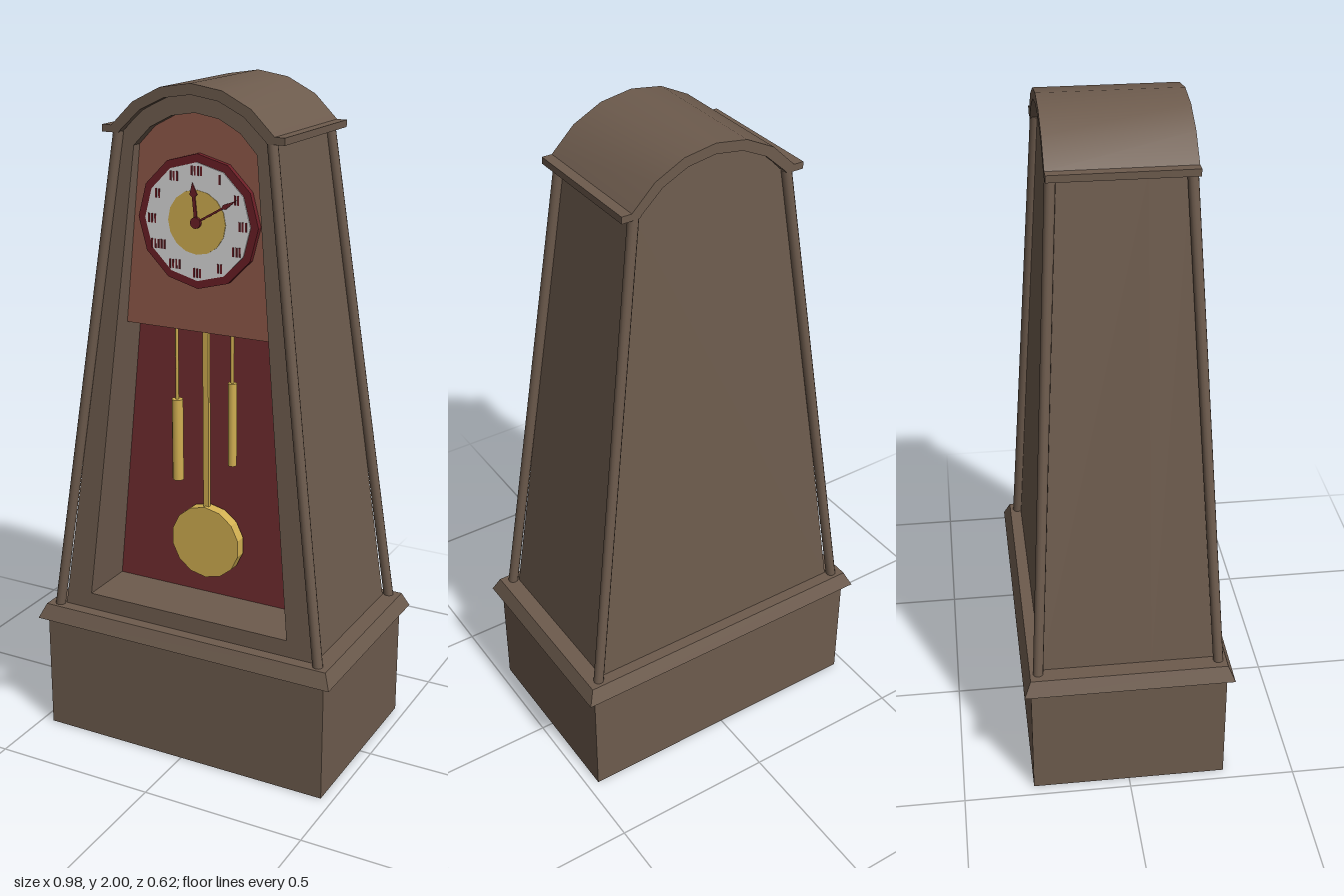
import * as THREE from 'three';
import { toCreasedNormals } from 'three/addons/utils/BufferGeometryUtils.js';

const ARCH_Y = 1.6875; // shared centre height of all arches
const PANEL_Z = 0.07;
const bodyDepth = (y) => 0.255 - 0.052 * (y - 0.41); // half depth of the tapered case

const mat = (name, color) => Object.assign(new THREE.MeshStandardMaterial({ color }), { name });

// Points along an arch of radius r, from right (+x) to left, ending at +-halfWidth
function archPoints(r, halfWidth, n = 6) {
  const a = Math.asin(halfWidth / r);
  return Array.from({ length: n + 1 }, (_, i) => {
    const t = a - (2 * a * i) / n;
    return new THREE.Vector2(r * Math.sin(t), ARCH_Y + r * Math.cos(t));
  });
}

// Tapered outline with an arched top
function caseOutline(bottomHalf, bottomY, r, topHalf) {
  return [new THREE.Vector2(-bottomHalf, bottomY), new THREE.Vector2(bottomHalf, bottomY), ...archPoints(r, topHalf)];
}

// Extrude a shape between two depth rules z(y)
function extrudeBetween(shape, back, front) {
  const g = new THREE.ExtrudeGeometry(shape, { depth: 1, bevelEnabled: false });
  const p = g.attributes.position;
  for (let i = 0; i < p.count; i++) {
    p.setZ(i, p.getZ(i) > 0.5 ? front(p.getY(i)) : back(p.getY(i)));
  }
  g.computeVertexNormals();
  return toCreasedNormals(g, 0.5);
}

export function createModel() {
  const model = new THREE.Group();
  model.name = 'longcaseClock';
  const wood = mat('brown wood', 0x6d5b4d);
  const crimson = mat('dark red lining', 0x732d30);
  const maroon = mat('maroon trim', 0x6b1f26);
  const copper = mat('reddish face board', 0x915a4a);
  const gold = mat('brass', 0xd2b052);
  const white = mat('dial white', 0xdcdcdc);

  const add = (name, geometry, material, x = 0, y = 0, z = 0, parent = model) => {
    const m = new THREE.Mesh(geometry, material);
    m.name = name;
    m.position.set(x, y, z);
    parent.add(m);
    return m;
  };
  const box = (w, h, d) => new THREE.BoxGeometry(w, h, d);
  const rod = (r, h, n = 10) => new THREE.CylinderGeometry(r, r, h, n);
  // Flat disc facing the front
  const disc = (r, depth, n) => toCreasedNormals(new THREE.CylinderGeometry(r, r, depth, n).rotateX(Math.PI / 2), 0.2);

  // Plinth and its sloped moulding
  add('plinth', box(0.93, 0.365, 0.58), wood, 0, 0.1825, 0);
  const moulding = box(0.98, 0.045, 0.62);
  const mp = moulding.attributes.position;
  for (let i = 0; i < mp.count; i++) {
    if (mp.getY(i) > 0) mp.setXYZ(i, Math.sign(mp.getX(i)) * 0.47, mp.getY(i), Math.sign(mp.getZ(i)) * 0.29);
  }
  add('plinthMoulding', toCreasedNormals(moulding, 0.3), wood, 0, 0.3875, 0);

  // Case: solid rear part and an open front frame
  const outer = caseOutline(0.42, 0.41, 0.283, 0.231);
  const opening = caseOutline(0.33, 0.46, 0.2325, 0.19);
  add('caseBack', extrudeBetween(new THREE.Shape(outer), (y) => -bodyDepth(y), () => PANEL_Z), wood);
  const frame = new THREE.Shape(outer);
  frame.holes.push(new THREE.Path(opening));
  add('caseFrame', extrudeBetween(frame, () => PANEL_Z, bodyDepth), wood);
  add('liningPanel', extrudeBetween(new THREE.Shape(opening), () => PANEL_Z, () => PANEL_Z + 0.004), crimson);

  // Leaning round corner posts
  const up = new THREE.Vector3(0, 1, 0);
  for (const sx of [-1, 1]) {
    for (const sz of [-1, 1]) {
      const a = new THREE.Vector3(sx * 0.436, 0.405, sz * 0.266);
      const b = new THREE.Vector3(sx * 0.236, 1.86, sz * 0.184);
      const post = add('cornerPost', rod(0.015, a.distanceTo(b), 12), wood);
      post.position.copy(a).lerp(b, 0.5);
      post.quaternion.setFromUnitVectors(up, b.clone().sub(a).normalize());
    }
  }

  // Arched roof with small side ledges
  const V = (x, y) => new THREE.Vector2(x, y);
  const roof = new THREE.Shape([
    V(0.228, 1.855), V(0.28, 1.855), V(0.28, 1.875),
    ...archPoints(0.3125, 0.25),
    V(-0.28, 1.875), V(-0.28, 1.855), V(-0.228, 1.855),
    ...archPoints(0.2825, 0.22).reverse(),
  ]);
  add('archedRoof', extrudeBetween(roof, () => -0.2, () => 0.2), wood);

  // Face board filling the top of the opening
  const board = [V(-0.246, 1.305), V(0.246, 1.305), ...archPoints(0.2325, 0.19)];
  add('faceBoard', extrudeBetween(new THREE.Shape(board), () => 0.13, () => 0.15), copper);

  // Dial
  const dial = new THREE.Group();
  dial.name = 'dial';
  dial.position.set(0, 1.622, 0.15);
  model.add(dial);
  add('dialRim', disc(0.188, 0.016, 12), maroon, 0, 0, 0.008, dial);
  add('dialPlate', disc(0.165, 0.004, 12), white, 0, 0, 0.017, dial);
  add('dialCentre', disc(0.09, 0.003, 16), gold, 0, 0, 0.0195, dial);
  // Hour marks as small groups of upright bars
  [4, 1, 2, 3, 3, 2, 3, 4, 5, 3, 2, 3].forEach((count, hour) => {
    const a = (hour * Math.PI) / 6;
    for (let i = 0; i < count; i++) {
      const dx = (i - (count - 1) / 2) * 0.01;
      add('hourMark', box(0.005, 0.026, 0.003), maroon, 0.142 * Math.sin(a) + dx, 0.142 * Math.cos(a), 0.0195, dial);
    }
  });
  // Hands
  const hand = (name, angle, length, width) => {
    const s = new THREE.Shape([
      V(-width * 0.4, 0), V(width * 0.4, 0), V(width * 0.4, length * 0.65),
      V(width, length * 0.7), V(0, length), V(-width, length * 0.7), V(-width * 0.4, length * 0.65),
    ]);
    const g = new THREE.ExtrudeGeometry(s, { depth: 0.003, bevelEnabled: false });
    add(name, g, maroon, 0, 0, 0.022, dial).rotation.z = -angle;
  };
  hand('hourHand', -0.1, 0.11, 0.012);
  hand('minuteHand', 1.05, 0.145, 0.007);
  add('handPin', disc(0.016, 0.01, 12), maroon, 0, 0, 0.025, dial);

  // Pendulum
  add('pendulumRod', box(0.018, 0.6, 0.012), gold, -0.01, 1.02, 0.1);
  add('pendulumBob', disc(0.113, 0.035, 14), gold, -0.008, 0.643, 0.1);

  // Hanging weights: x, bottom, top, radius
  for (const [x, y0, y1, r] of [[-0.093, 0.835, 1.085, 0.017], [0.088, 0.91, 1.16, 0.013]]) {
    add('weight', rod(r, y1 - y0), gold, x, (y0 + y1) / 2, 0.125);
    add('weightCord', rod(0.005, 1.31 - y1, 6), gold, x, (1.31 + y1) / 2, 0.125);
  }
  return model;
}
